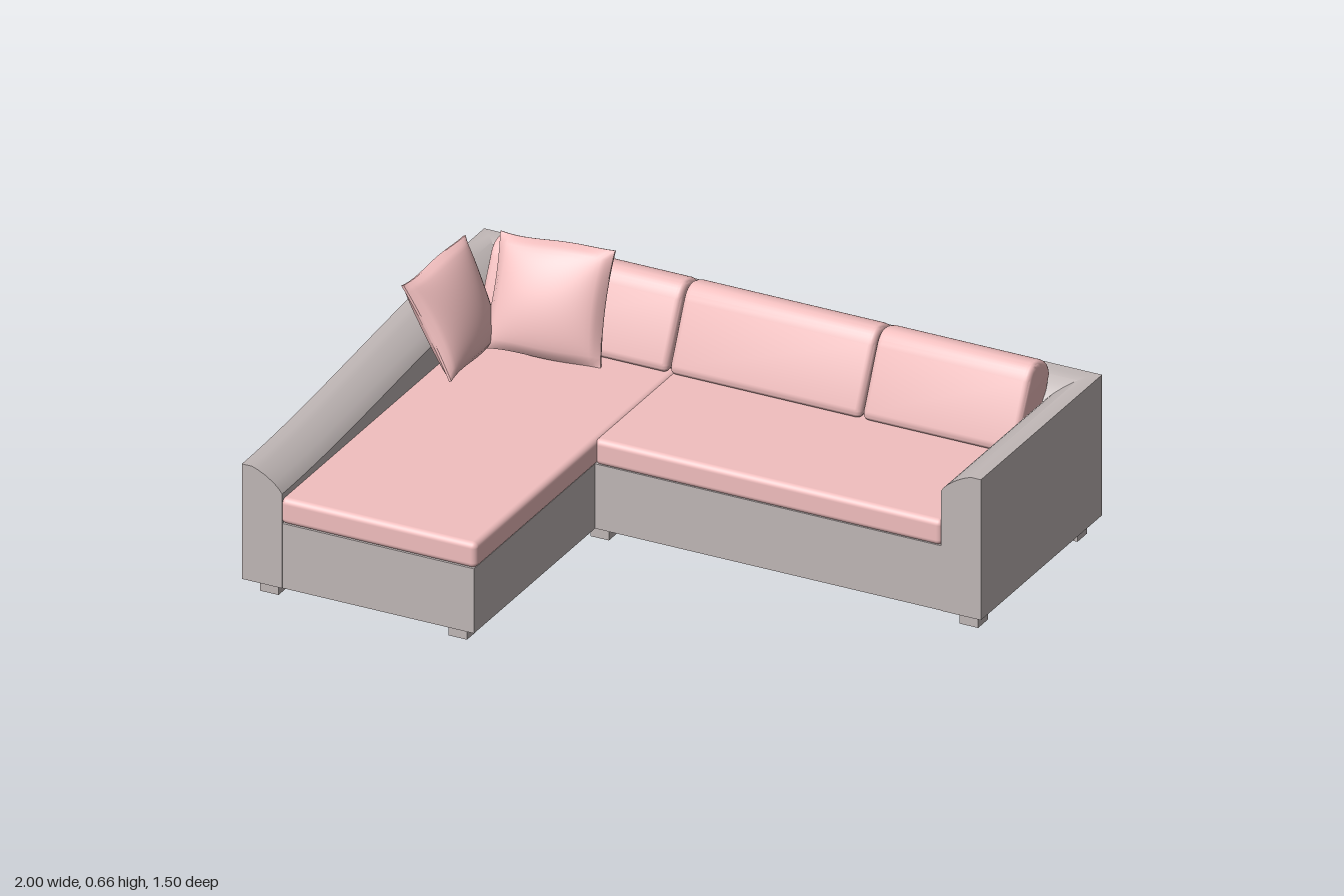
import * as THREE from 'three';
import { toCreasedNormals } from 'three/addons/utils/BufferGeometryUtils.js';
import { RoundedBoxGeometry } from 'three/addons/geometries/RoundedBoxGeometry.js';

const frameMat = new THREE.MeshStandardMaterial({ color: 0xc0b7b6 });
const fabricMat = new THREE.MeshStandardMaterial({ color: 0xf2bfbf });

function add(parent, name, geometry, material, x = 0, y = 0, z = 0) {
  const mesh = new THREE.Mesh(geometry, material);
  mesh.name = name;
  mesh.position.set(x, y, z);
  parent.add(mesh);
  return mesh;
}

// Block given by its minimum and maximum corners, optionally rounded
function block(parent, name, material, [x0, y0, z0], [x1, y1, z1], radius = 0) {
  const size = [x1 - x0, y1 - y0, z1 - z0];
  const geometry = radius ? new RoundedBoxGeometry(...size, 4, radius) : new THREE.BoxGeometry(...size);
  return add(parent, name, geometry, material, (x0 + x1) / 2, (y0 + y1) / 2, (z0 + z1) / 2);
}

// Skin over matching convex rings, capped at both ends
function loft(rings) {
  const pos = [];
  const tri = (...points) => points.forEach((p) => pos.push(p.x, p.y, p.z));
  const n = rings[0].length;
  for (let k = 0; k < rings.length - 1; k++) {
    const a = rings[k], b = rings[k + 1];
    for (let i = 0; i < n; i++) {
      const j = (i + 1) % n;
      tri(a[i], b[i], a[j]);
      tri(a[j], b[i], b[j]);
    }
  }
  const first = rings[0], last = rings[rings.length - 1];
  for (let i = 1; i < n - 1; i++) {
    tri(first[0], first[i], first[i + 1]);
    tri(last[0], last[i + 1], last[i]);
  }
  const geometry = new THREE.BufferGeometry();
  geometry.setAttribute('position', new THREE.Float32BufferAttribute(pos, 3));
  return toCreasedNormals(geometry, 0.5);
}

// Arms and back: one section swept round the mitred corners
function armsAndBack() {
  // [distance from outside 0..1, height]
  const profile = [[0, 0.05], [0, 0.502], [0.25, 0.502], [0.4, 0.495], [0.6, 0.482],
    [0.8, 0.464], [0.93, 0.448], [1, 0.435], [1, 0.05]];
  const W = 0.13;
  // outer x, outer z, direction towards the inside in x and z
  const stations = [[1, 0, -1, 0], [1, -0.75, -1, 1], [-1, -0.75, 1, 1]];
  for (let i = 0; i <= 20; i++) stations.push([-1, -0.6 + 1.35 * i / 20, 1, 0]);
  return loft(stations.map(([x, z, dx, dz]) => {
    // the long arm sinks gently towards its front end
    const drop = x < 0 ? 0.082 * THREE.MathUtils.smoothstep(z, -0.65, 0.75) : 0;
    return profile.map(([t, y]) =>
      new THREE.Vector3(x + dx * t * W, y > 0.1 ? y - drop : y, z + dz * t * W));
  }));
}

// Leaning back cushion with a soft top, extruded along x
function backCushion(width) {
  const s = new THREE.Shape();
  s.moveTo(0.475, 0.338);
  s.quadraticCurveTo(0.455, 0.34, 0.46, 0.37);
  s.lineTo(0.54, 0.54);
  s.quadraticCurveTo(0.56, 0.585, 0.6, 0.582);
  s.quadraticCurveTo(0.675, 0.565, 0.68, 0.51);
  s.lineTo(0.61, 0.338);
  const bevel = 0.018;
  const geometry = new THREE.ExtrudeGeometry(s, {
    depth: width - 2 * bevel, curveSegments: 8, bevelEnabled: true,
    bevelThickness: bevel, bevelSize: bevel, bevelOffset: -bevel, bevelSegments: 4,
  });
  geometry.translate(0, 0, bevel).rotateY(Math.PI / 2);
  return toCreasedNormals(geometry, 0.6);
}

// Throw pillow: puffed in the middle, edges drawn in between the corners
function pillowGeometry(halfW, halfH, halfT) {
  const geometry = new THREE.BoxGeometry(2, 2, 2, 24, 24, 1);
  const p = geometry.attributes.position;
  for (let i = 0; i < p.count; i++) {
    const u = p.getX(i), v = p.getY(i), side = p.getZ(i);
    const puff = Math.pow((1 - u * u) * (1 - v * v), 0.5);
    p.setXYZ(i,
      halfW * u * (1 - 0.06 * (1 - v * v)),
      halfH * v * (1 - 0.06 * (1 - u * u)) + 0.006 * Math.sin(3 * u + 1) * v,
      side * (0.004 + halfT * puff) + 0.012 * u * v);
  }
  geometry.computeVertexNormals();
  return geometry;
}

export function createModel() {
  const sofa = new THREE.Group();
  sofa.name = 'cornerSofa';

  add(sofa, 'armsAndBack', armsAndBack(), frameMat);

  // Bases under the seats
  block(sofa, 'chaiseBase', frameMat, [-0.875, 0.05, -0.63], [-0.25, 0.258, 0.748]);
  block(sofa, 'seatBase', frameMat, [-0.25, 0.05, -0.63], [0.875, 0.258, -0.002]);

  // Seat cushions
  block(sofa, 'chaiseCushion', fabricMat, [-0.878, 0.256, -0.62], [-0.243, 0.338, 0.75], 0.018);
  block(sofa, 'seatCushion', fabricMat, [-0.253, 0.256, -0.62], [0.873, 0.338, 0.002], 0.018);

  // Back cushions
  for (const [x0, x1] of [[-0.876, -0.256], [-0.25, 0.37], [0.374, 0.872]]) {
    add(sofa, 'backCushion', backCushion(x1 - x0), fabricMat, x0);
  }

  // Throw pillows in the corner
  const backPillow = add(sofa, 'backPillow', pillowGeometry(0.18, 0.176, 0.06), fabricMat, -0.63, 0.497, -0.447);
  backPillow.rotation.set(-0.42, 0.12, 0, 'YXZ');
  const armPillow = add(sofa, 'armPillow', pillowGeometry(0.172, 0.162, 0.052), fabricMat, -0.845, 0.495, -0.267);
  armPillow.rotation.set(-0.44, Math.PI / 2, 0, 'YXZ');

  // Feet
  for (const [x, z] of [[-0.935, 0.675], [-0.325, 0.675], [-0.255, -0.07],
    [0.94, -0.07], [-0.935, -0.685], [0.94, -0.685]]) {
    add(sofa, 'foot', new THREE.BoxGeometry(0.06, 0.05, 0.06), frameMat, x, 0.025, z);
  }
  return sofa;
}
